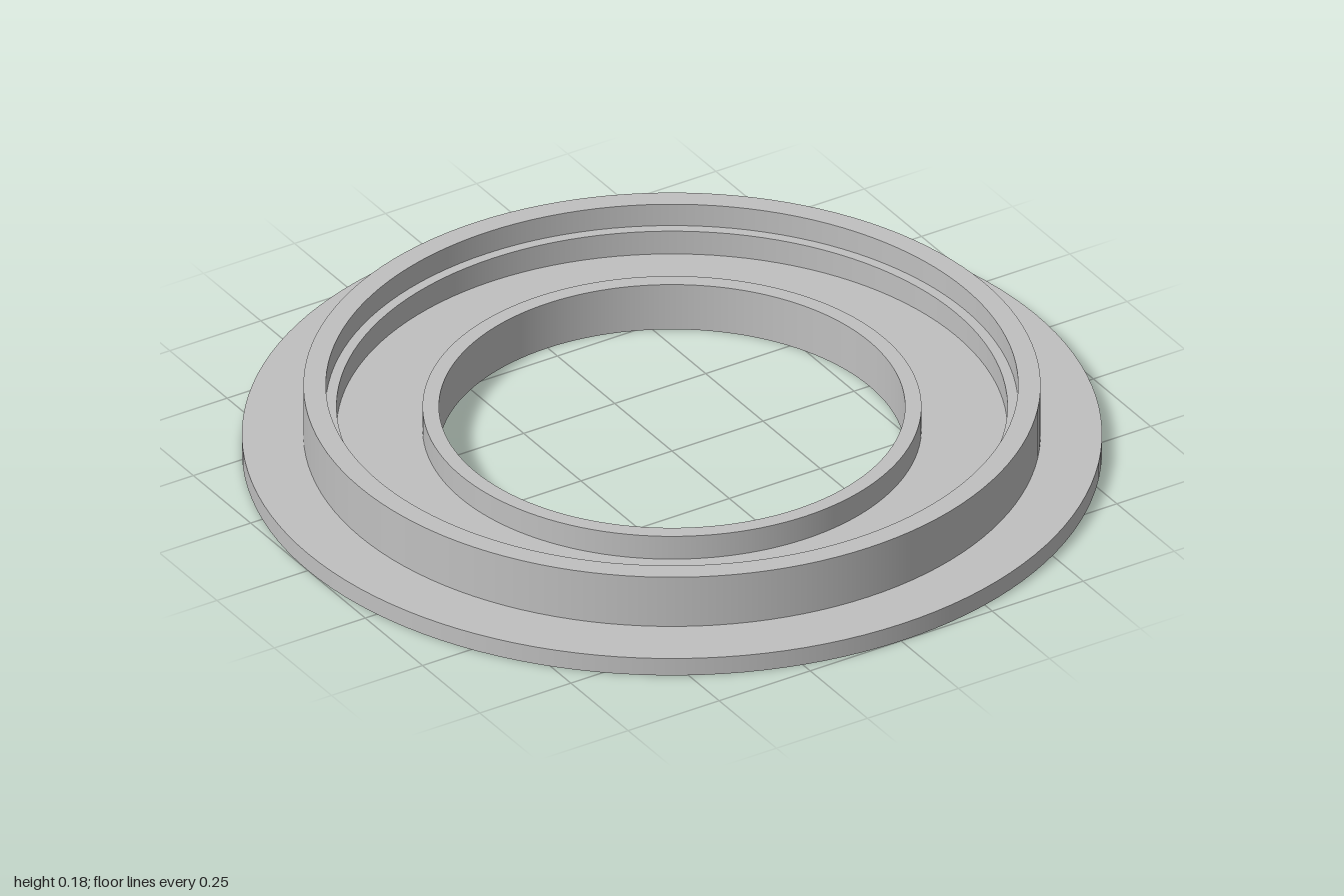
import * as THREE from 'three';
import { mergeGeometries } from 'three/addons/utils/BufferGeometryUtils.js';

const SEGMENTS = 128;

// Revolve each straight profile edge on its own, so corners stay sharp
// while the round surfaces stay smooth.
function revolve(profile) {
  const bands = [];
  for (let i = 0; i < profile.length - 1; i++) {
    const ends = [profile[i], profile[i + 1]].map(([r, y]) => new THREE.Vector2(r, y));
    bands.push(new THREE.LatheGeometry(ends, SEGMENTS));
  }
  return mergeGeometries(bands);
}

export function createModel() {
  const group = new THREE.Group();
  group.name = 'flangedRing';
  const grey = new THREE.MeshStandardMaterial({ color: 0xc0c0c0 });
  grey.name = 'grey';

  // Radii
  const flangeR = 1, wallR = 0.857, wallInnerR = 0.805;
  const ledgeR = 0.78, rimR = 0.58, boreR = 0.542;
  // Heights
  const flangeY = 0.046, floorY = 0.06, ledgeY = 0.122, wallY = 0.18;

  // Profiles run counter-clockwise around the section, so faces point outward
  const parts = {
    baseFlange: [[boreR, 0], [flangeR, 0], [flangeR, flangeY], [wallR, flangeY]],
    outerWall: [[wallR, flangeY], [wallR, wallY], [wallInnerR, wallY], [wallInnerR, ledgeY]],
    innerLedge: [[wallInnerR, ledgeY], [ledgeR, ledgeY], [ledgeR, floorY]],
    channelFloor: [[ledgeR, floorY], [rimR, floorY]],
    boreRim: [[rimR, floorY], [rimR, ledgeY], [boreR, ledgeY], [boreR, 0]],
  };

  for (const [name, profile] of Object.entries(parts)) {
    const mesh = new THREE.Mesh(revolve(profile), grey);
    mesh.name = name;
    group.add(mesh);
  }
  return group;
}
